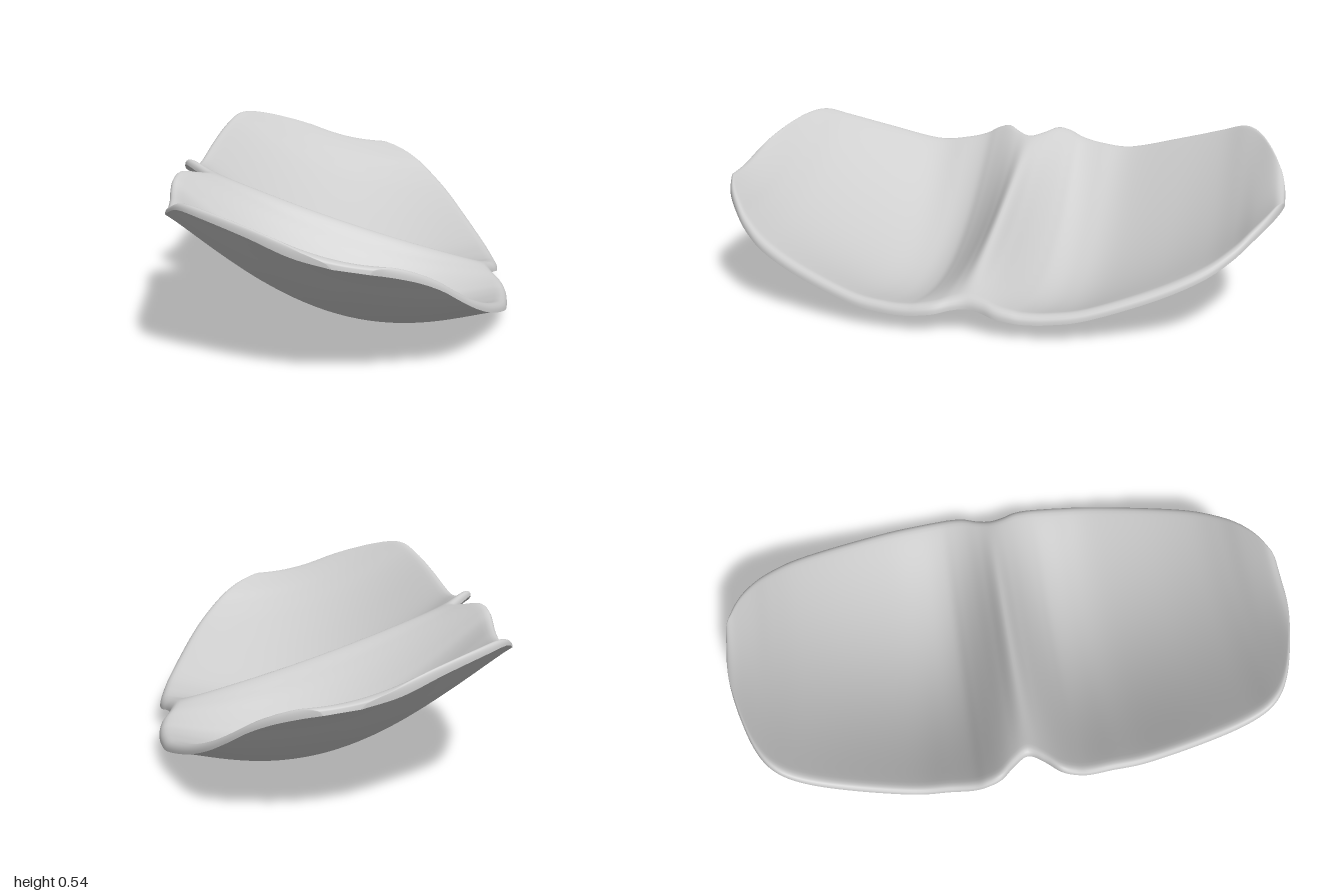
import * as THREE from 'three';

// Half stations from the central ridge outward: z, back edge x/y, front edge x/y, dish depth
const half = [
  [0.00, -0.50, 0.45, 0.55, 0.095, 0.02],
  [0.05, -0.53, 0.462, 0.56, 0.09, 0.07],
  [0.10, -0.575, 0.478, 0.58, 0.08, 0.127],
  [0.15, -0.59, 0.465, 0.587, 0.074, 0.167],
  [0.20, -0.59, 0.44, 0.587, 0.07, 0.19],
  [0.28, -0.58, 0.422, 0.58, 0.073, 0.197],
  [0.40, -0.57, 0.415, 0.56, 0.09, 0.18],
  [0.60, -0.54, 0.465, 0.50, 0.148, 0.14],
  [0.75, -0.505, 0.508, 0.44, 0.208, 0.105],
  [0.84, -0.46, 0.537, 0.38, 0.263, 0.083],
  [0.90, -0.38, 0.525, 0.32, 0.313, 0.06],
  [0.95, -0.25, 0.485, 0.25, 0.352, 0.035],
  [0.985, -0.12, 0.435, 0.17, 0.378, 0.012],
  [1.00, 0.00, 0.405, 0.11, 0.39, 0.0],
];

// Uniform spline through the mirrored stations, so all three curves share z
function spline(pick) {
  const side = (sign, list) => list.map((s) => {
    const [a, b] = pick(s);
    return new THREE.Vector3(a, b, sign * s[0]);
  });
  const points = [...side(-1, half.slice(1).reverse()), ...side(1, half)];
  return new THREE.CatmullRomCurve3(points, false, 'catmullrom', 0.5);
}

const back = spline((s) => [s[1], s[2]]);
const front = spline((s) => [s[3], s[4]]);
const depth = spline((s) => [s[5], 0]);

// One skin of the shell: a dished sheet, lifted by the thickness behind a rounded rim
function skin(thickness, faceUp) {
  const rows = 156, cols = 48, rimRadius = 0.035;
  const positions = [], index = [];
  for (let i = 0; i <= rows; i++) {
    const t = i / rows;
    const b = back.getPoint(t), f = front.getPoint(t), sag = depth.getPoint(t).x;
    for (let j = 0; j <= cols; j++) {
      // Columns crowd toward the rims
      const u = -Math.cos((Math.PI * j) / cols);
      const k = (u + 1) / 2;
      const dish = Math.pow(Math.max(0, 1 - u * u), 1.2);
      const inset = Math.min((1 - Math.abs(u)) * (f.x - b.x) / 2, 1 - Math.abs(b.z));
      const r = 1 - THREE.MathUtils.clamp(inset / rimRadius, 0, 1);
      positions.push(
        THREE.MathUtils.lerp(b.x, f.x, k),
        THREE.MathUtils.lerp(b.y, f.y, k) - sag * dish + thickness * Math.sqrt(1 - r * r),
        b.z,
      );
      if (i < rows && j < cols) {
        const a = i * (cols + 1) + j, c = a + cols + 1;
        if (faceUp) index.push(a, c, a + 1, a + 1, c, c + 1);
        else index.push(a, a + 1, c, a + 1, c + 1, c);
      }
    }
  }
  const geometry = new THREE.BufferGeometry();
  geometry.setAttribute('position', new THREE.Float32BufferAttribute(positions, 3));
  geometry.setIndex(index);
  geometry.computeVertexNormals();
  return geometry;
}

export function createModel() {
  const group = new THREE.Group();
  group.name = 'twoLobedShell';
  const material = new THREE.MeshStandardMaterial({ color: 0xcccccc });
  const add = (name, geometry) => {
    const mesh = new THREE.Mesh(geometry, material);
    mesh.name = name;
    group.add(mesh);
  };
  // Concave upper face and convex underside meet along the rim
  add('upperFace', skin(0.035, true));
  add('underside', skin(0, false));
  return group;
}
